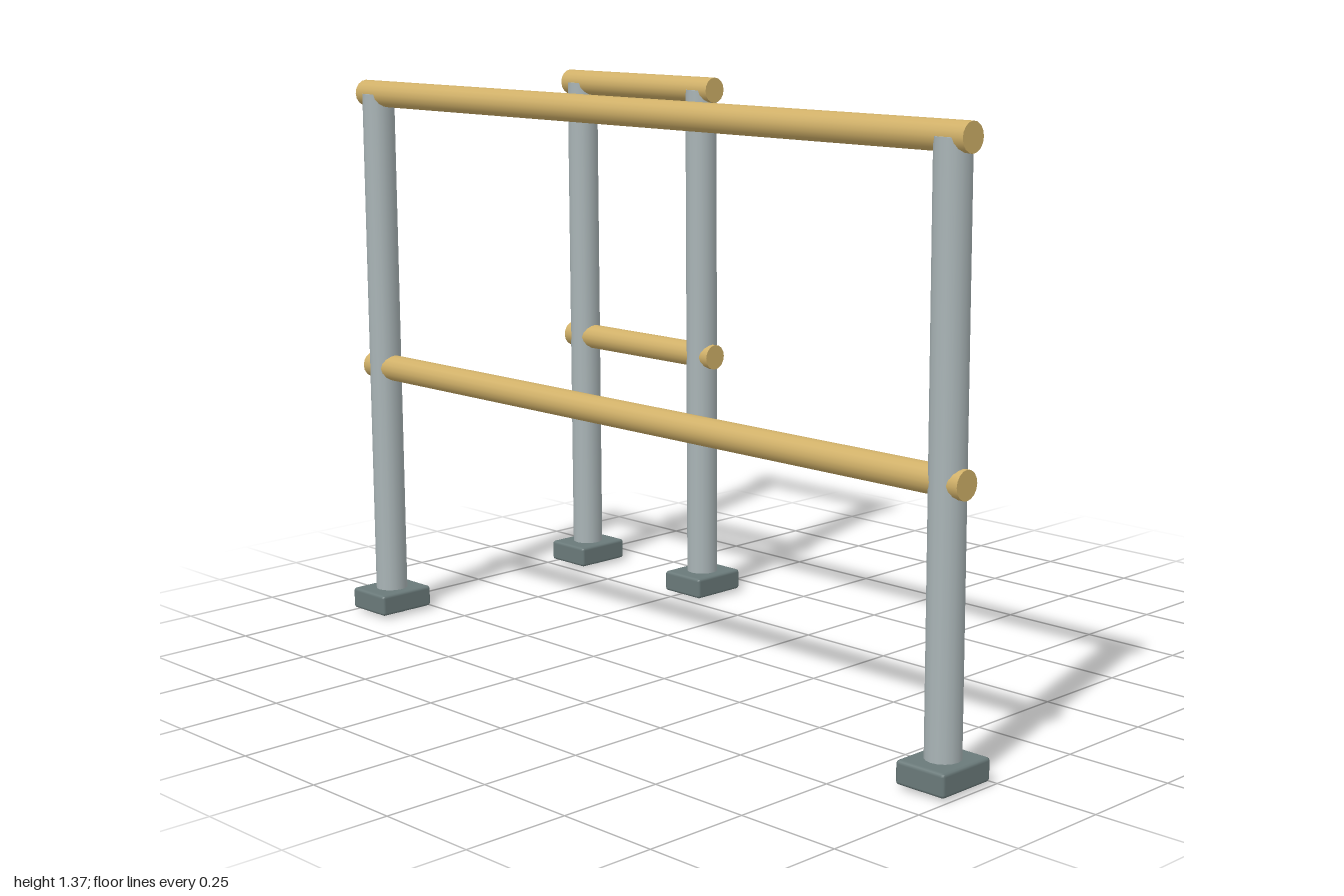
import * as THREE from 'three';
import { RoundedBoxGeometry } from 'three/addons/geometries/RoundedBoxGeometry.js';

const RAIL_HEIGHTS = { topRail: 1.34, middleRail: 0.645 };
const POST_RADIUS = 0.04;
const RAIL_RADIUS = 0.0325;
const OVERHANG = 0.05;

export function createModel() {
  const model = new THREE.Group();
  model.name = 'guardRails';

  const make = (name, hex) => {
    const material = new THREE.MeshStandardMaterial({ color: hex });
    material.name = name;
    return material;
  };
  const wood = make('golden wood', 0xd0b068);
  const steel = make('pale grey steel', 0xa9b4b6);
  const footing = make('dark grey footing', 0x6a7a7a);

  const add = (parent, name, geometry, material, x, y, z) => {
    const mesh = new THREE.Mesh(geometry, material);
    mesh.name = name;
    mesh.position.set(x, y, z);
    parent.add(mesh);
    return mesh;
  };

  // The post runs through its foot down to the ground
  const postHeight = RAIL_HEIGHTS.topRail;
  const postGeometry = new THREE.CylinderGeometry(POST_RADIUS, POST_RADIUS, postHeight, 16);
  const footGeometry = new RoundedBoxGeometry(0.13, 0.054, 0.153, 1, 0.008);

  // One fence section: two posts on feet, joined by two round rails
  const addSection = (name, xRight, xLeft, z) => {
    const section = new THREE.Group();
    section.name = name;
    section.position.z = z;
    for (const [side, x] of [['right', xRight], ['left', xLeft]]) {
      add(section, side + 'Post', postGeometry, steel, x, postHeight / 2, 0);
      add(section, side + 'Foot', footGeometry, footing, x, 0.034, 0);
    }
    const length = xLeft - xRight + 2 * OVERHANG;
    const railGeometry = new THREE.CylinderGeometry(RAIL_RADIUS, RAIL_RADIUS, length, 16);
    railGeometry.rotateZ(Math.PI / 2);
    for (const [railName, y] of Object.entries(RAIL_HEIGHTS)) {
      add(section, railName, railGeometry, wood, (xRight + xLeft) / 2, y, 0);
    }
    model.add(section);
  };

  addSection('frontSection', -0.933, 0.93, 0.342);
  addSection('backSection', -0.933, -0.474, -0.342);

  return model;
}
